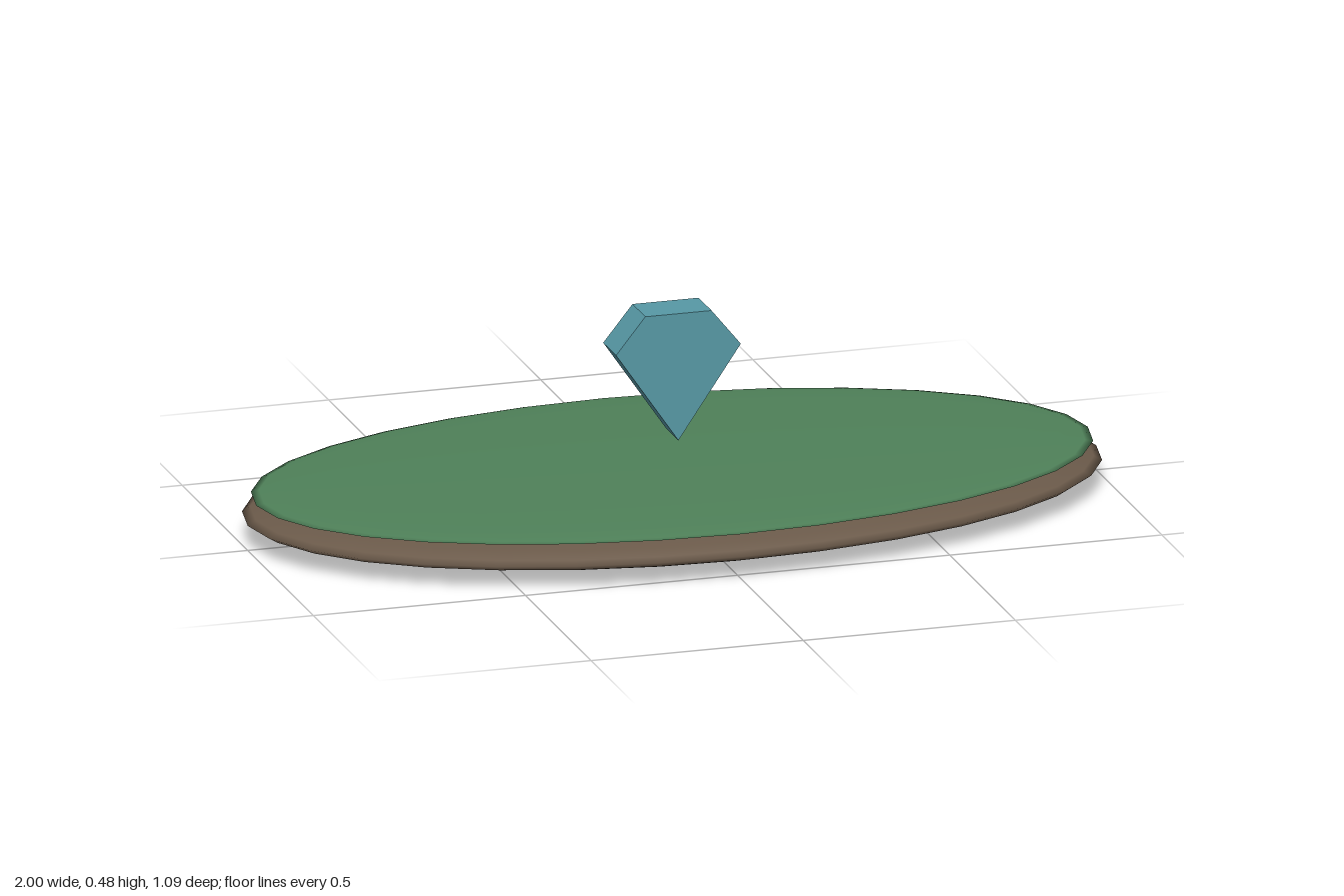
import * as THREE from 'three';

const earth = new THREE.MeshStandardMaterial({ name: 'earthBrown', color: 0x6b5a4a });
const grass = new THREE.MeshStandardMaterial({ name: 'grassGreen', color: 0x4f8159 });
const crystal = new THREE.MeshStandardMaterial({ name: 'crystalBlue', color: 0x5799a6 });

// Flattened ellipsoid disc
function disc(name, material, rx, ry, rz, y) {
  const mesh = new THREE.Mesh(new THREE.SphereGeometry(1, 32, 16).scale(rx, ry, rz), material);
  mesh.name = name;
  mesh.position.y = y;
  return mesh;
}

export function createModel() {
  const model = new THREE.Group();
  model.name = 'gemIsland';

  // Earth base with a thinner grass layer resting on it
  model.add(disc('earthBase', earth, 1, 0.058, 0.545, 0.058));
  model.add(disc('grassLayer', grass, 0.98, 0.017, 0.522, 0.104));

  // Floating gem: a five-sided outline with constant depth
  const outline = new THREE.Shape([
    [0, 0.18], [0.147, 0.395], [0.078, 0.48], [-0.078, 0.48], [-0.147, 0.395],
  ].map(([x, y]) => new THREE.Vector2(x, y)));
  const depth = 0.098;
  const gem = new THREE.Mesh(
    new THREE.ExtrudeGeometry(outline, { depth, bevelEnabled: false }).translate(0, 0, -depth / 2),
    crystal,
  );
  gem.name = 'gem';
  model.add(gem);

  return model;
}
